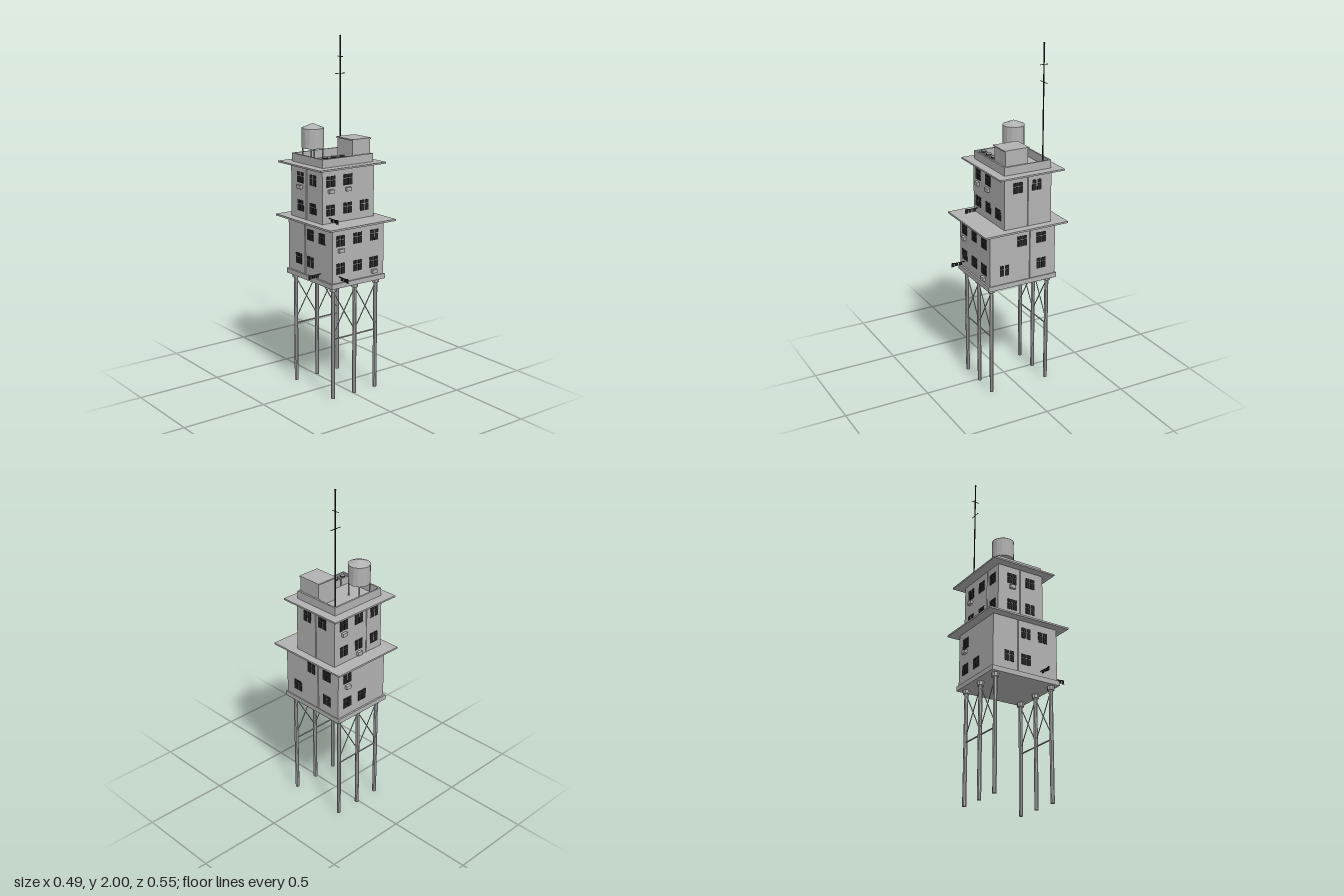
import * as THREE from 'three';

const mat = (name, color, flat = false) => {
  const m = new THREE.MeshStandardMaterial({ color, flatShading: flat });
  m.name = name;
  return m;
};

export function createModel() {
  const root = new THREE.Group();
  root.name = 'stiltTower';
  const grey = mat('concreteGrey', 0xb2b2b2, true);
  const dark = mat('darkGlass', 0x222222);

  const add = (name, geo, material, x, y, z, parent = root) => {
    const m = new THREE.Mesh(geo, material);
    m.name = name;
    m.position.set(x, y, z);
    parent.add(m);
    return m;
  };
  // Box given by its limits on each axis
  const block = (name, x0, x1, y0, y1, z0, z1, material = grey) =>
    add(name, new THREE.BoxGeometry(x1 - x0, y1 - y0, z1 - z0), material,
      (x0 + x1) / 2, (y0 + y1) / 2, (z0 + z1) / 2);
  // Round bar between two points
  const bar = (name, a, b, r, sides = 6, material = grey) => {
    const p = new THREE.Vector3(...a), q = new THREE.Vector3(...b);
    const d = q.clone().sub(p);
    const m = add(name, new THREE.CylinderGeometry(r, r, d.length(), sides), material, 0, 0, 0);
    m.position.copy(p).add(q).multiplyScalar(0.5);
    m.quaternion.setFromUnitVectors(new THREE.Vector3(0, 1, 0), d.normalize());
    return m;
  };

  // Stilts, collars and cross bracing
  const legX = [-0.14, 0.01, 0.16];
  for (const z of [0.167, -0.19]) {
    for (const x of legX) {
      bar('leg', [x, 0, z], [x, 0.65, z], 0.0115, 8);
      bar('legCollar', [x, 0.632, z], [x, 0.655, z], 0.02, 8);
    }
    for (let i = 0; i < 2; i++) {
      const a = legX[i], b = legX[i + 1];
      bar('brace', [a, 0.38, z], [b, 0.63, z], 0.003);
      bar('brace', [b, 0.38, z], [a, 0.63, z], 0.003);
    }
    bar('tieBar', [legX[0], 0.352, z], [legX[2], 0.352, z], 0.004);
  }

  // Floors and slabs
  block('baseSlab', -0.175, 0.2, 0.655, 0.683, -0.23, 0.203);
  const X0 = -0.165, X1 = 0.195;
  const lower = { z0: -0.22, z1: 0.193 }, upper = { z0: -0.19, z1: 0.103 };
  block('firstFloor', X0, X1, 0.683, 0.84, lower.z0, lower.z1);
  block('secondFloor', X0, X1, 0.84, 0.99, lower.z0, lower.z1);
  block('middleSlab', -0.215, 0.242, 0.99, 1.0, -0.274, 0.243);
  block('thirdFloor', X0, X1, 1.0, 1.155, upper.z0, upper.z1);
  block('fourthFloor', X0, X1, 1.155, 1.302, upper.z0, upper.z1);
  block('roofSlab', -0.215, 0.242, 1.302, 1.311, -0.247, 0.153);

  // Parapet around the roof
  const px0 = -0.16, px1 = 0.19, pz0 = -0.19, pz1 = 0.1, t = 0.01;
  block('parapetFront', px0, px1, 1.311, 1.358, pz1 - t, pz1);
  block('parapetBack', px0, px1, 1.311, 1.358, pz0, pz0 + t);
  block('parapetSide', px0, px0 + t, 1.311, 1.358, pz0 + t, pz1 - t);
  block('parapetSide', px1 - t, px1, 1.311, 1.358, pz0 + t, pz1 - t);

  // Places a group on a wall, its local +z pointing outwards
  const onWall = (name, side, u, y, tier) => {
    const g = new THREE.Group();
    g.name = name;
    if (side === 'front') g.position.set(u, y, tier.z1);
    if (side === 'back') { g.position.set(u, y, tier.z0); g.rotation.y = Math.PI; }
    if (side === 'plusX') { g.position.set(X1, y, u); g.rotation.y = Math.PI / 2; }
    if (side === 'minusX') { g.position.set(X0, y, u); g.rotation.y = -Math.PI / 2; }
    root.add(g);
    return g;
  };

  // Windows: four dark panes each
  const windowAt = (side, u, y, tier) => {
    const g = onWall('window', side, u, y, tier);
    for (const s of [-1, 1]) {
      add('upperPane', new THREE.BoxGeometry(0.026, 0.02, 0.004), dark, s * 0.0158, 0.021, 0.001, g);
      add('lowerPane', new THREE.BoxGeometry(0.026, 0.037, 0.004), dark, s * 0.0158, -0.0115, 0.001, g);
    }
  };
  const cols = [-0.108, 0.01, 0.125];
  const rows = [0.762, 0.918, 1.072, 1.232];
  const layout = {
    front: [cols, cols, cols, cols.slice(0, 2)],
    back: [cols.slice(1), cols.slice(2), cols, cols],
    plusX: [[0.103, -0.13], [-0.008, -0.13], [], [0.018, -0.098]],
    minusX: [[-0.12, -0.01], [-0.01, 0.1], [-0.1, 0.018], [-0.1, 0.018]],
  };
  for (const side in layout)
    layout[side].forEach((list, i) =>
      list.forEach((u) => windowAt(side, u, rows[i], i < 2 ? lower : upper)));

  // Wall-mounted cooling units below some windows
  const units = [
    ['front', 0.125, 0], ['front', -0.108, 1], ['front', -0.108, 3], ['front', 0.01, 3],
    ['back', 0.125, 1], ['back', 0.01, 2], ['back', 0.125, 3], ['minusX', -0.1, 3],
  ];
  for (const [side, u, i] of units) {
    const g = onWall('coolingUnit', side, u, rows[i] - 0.053, i < 2 ? lower : upper);
    add('unitCase', new THREE.BoxGeometry(0.034, 0.021, 0.016), grey, 0, 0, 0.008, g);
  }

  // Drain pipes
  for (const [x, z] of [[X0, -0.045], [X1, -0.045]]) {
    bar('drainPipe', [x, 0.683, z - 0.015], [x, 0.99, z - 0.015], 0.005);
    bar('drainPipe', [x, 1.0, z], [x, 1.302, z], 0.005);
  }
  bar('drainPipe', [-0.05, 1.0, upper.z0], [-0.05, 1.302, upper.z0], 0.004);

  // Thin hanging panels standing out from the walls
  for (const [side, u, y, tier] of [
    ['front', -0.118, 0.709, lower], ['front', -0.118, 1.021, upper], ['minusX', 0.085, 0.709, lower],
  ]) {
    const g = onWall('wallPanel', side, u, y, tier);
    add('panelArm', new THREE.BoxGeometry(0.002, 0.004, 0.078), dark, 0, 0.008, 0.039, g);
    [0.025, 0.049, 0.072].forEach((z, i) =>
      add('panel', new THREE.BoxGeometry(0.003, i === 2 ? 0.024 : 0.019, 0.017), dark, 0, 0, z, g));
  }

  // Stair hut with a thin cap
  block('roofHut', 0.055, 0.177, 1.311, 1.44, -0.052, 0.088);
  block('hutCap', 0.05, 0.181, 1.44, 1.447, -0.057, 0.093);

  // Rooftop fan units
  for (const x of [-0.115, -0.057, 0.001]) {
    block('fanUnit', x - 0.024, x + 0.024, 1.311, 1.355, 0.044, 0.08);
    add('fan', new THREE.CylinderGeometry(0.015, 0.015, 0.008, 16), dark, x, 1.358, 0.062);
    add('fanCover', new THREE.CylinderGeometry(0.0145, 0.0145, 0.002, 16), grey, x, 1.363, 0.062);
  }

  // Water tank on four legs
  const tx = -0.077, tz = -0.105;
  add('tank', new THREE.CylinderGeometry(0.062, 0.062, 0.112, 14), grey, tx, 1.446, tz);
  add('tankRoof', new THREE.ConeGeometry(0.064, 0.027, 14), grey, tx, 1.5145, tz);
  for (const sx of [-1, 1])
    for (const sz of [-1, 1])
      bar('tankLeg', [tx + sx * 0.04, 1.311, tz + sz * 0.04], [tx + sx * 0.04, 1.392, tz + sz * 0.04], 0.004);

  // Antenna mast with two crossbars
  const ax = 0.155, az = -0.157;
  bar('antennaMast', [ax, 1.311, az], [ax, 1.995, az], 0.004, 6, dark);
  add('antennaTip', new THREE.SphereGeometry(0.006, 8, 6), dark, ax, 1.994, az);
  bar('antennaCrossbar', [ax - 0.035, 1.785, az], [ax + 0.035, 1.785, az], 0.002, 6, dark);
  bar('antennaCrossbar', [ax, 1.88, az - 0.024], [ax, 1.88, az + 0.024], 0.002, 6, dark);

  return root;
}
